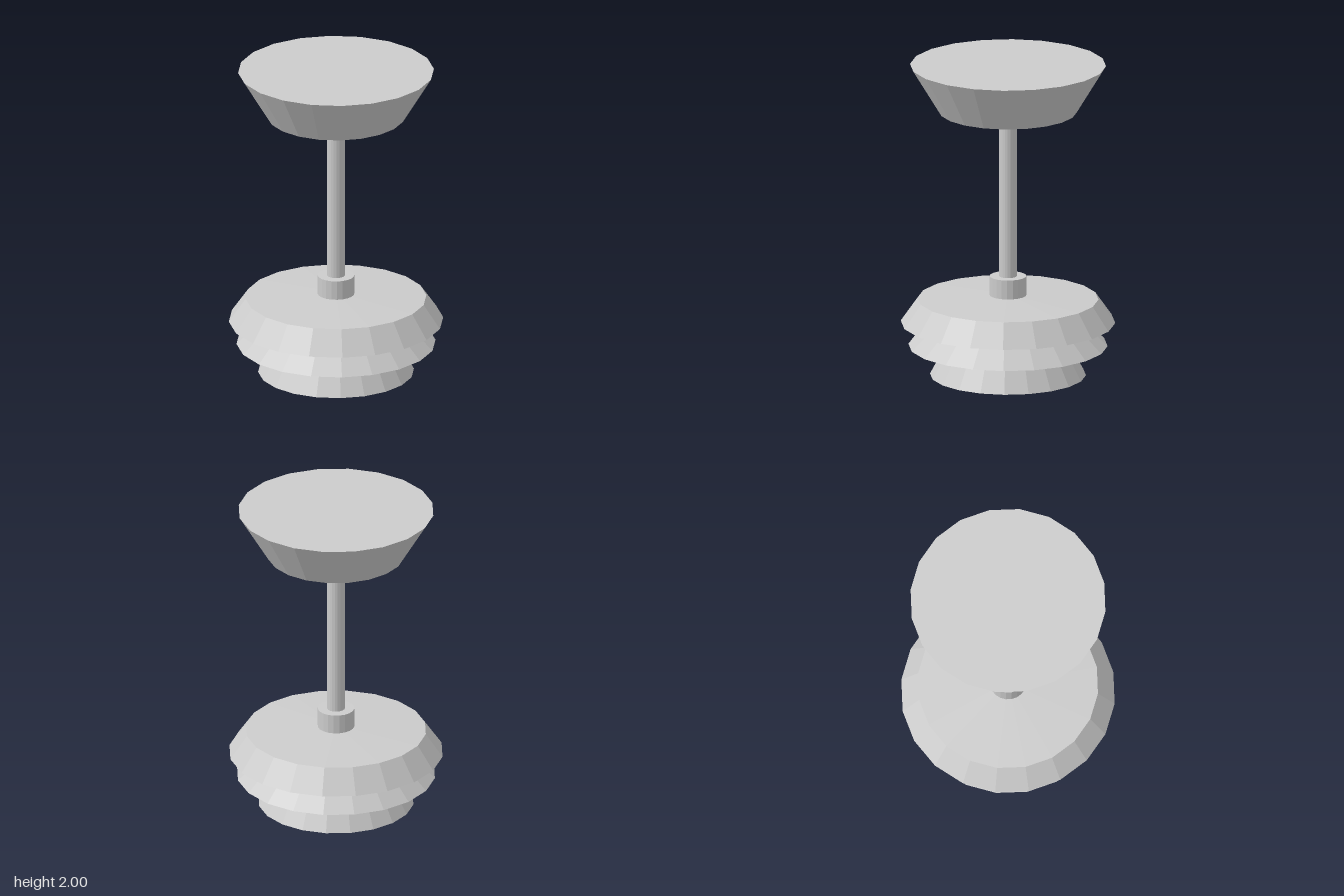
import * as THREE from 'three';

const SIDES = 20;

export function createModel() {
  const model = new THREE.Group();
  model.name = 'pendantLamp';
  const material = new THREE.MeshStandardMaterial({ color: 0xcccccc, flatShading: true });

  // Revolves a [radius, y] profile, listed from bottom to top
  const addTurned = (name, profile) => {
    const points = profile.map(([r, y]) => new THREE.Vector2(r, y));
    const mesh = new THREE.Mesh(new THREE.LatheGeometry(points, SIDES), material);
    mesh.name = name;
    model.add(mesh);
  };

  // Solid tapered drum between two heights
  const addDrum = (name, rBottom, rTop, y0, y1) =>
    addTurned(name, [[0, y0], [rBottom, y0], [rTop, y1], [0, y1]]);

  // Three stacked shade tiers with flat undersides and a shallow conical top
  addTurned('tieredShade', [
    [0, 0], [0.487, 0], [0.385, 0.19],
    [0.622, 0.19], [0.47, 0.34],
    [0.67, 0.34], [0.565, 0.49],
    [0.11, 0.515], [0, 0.515],
  ]);

  addDrum('collar', 0.115, 0.115, 0.505, 0.637);
  addDrum('rod', 0.056, 0.056, 0.6, 1.72);
  addDrum('ceilingCanopy', 0.43, 0.612, 1.7, 2);

  return model;
}
